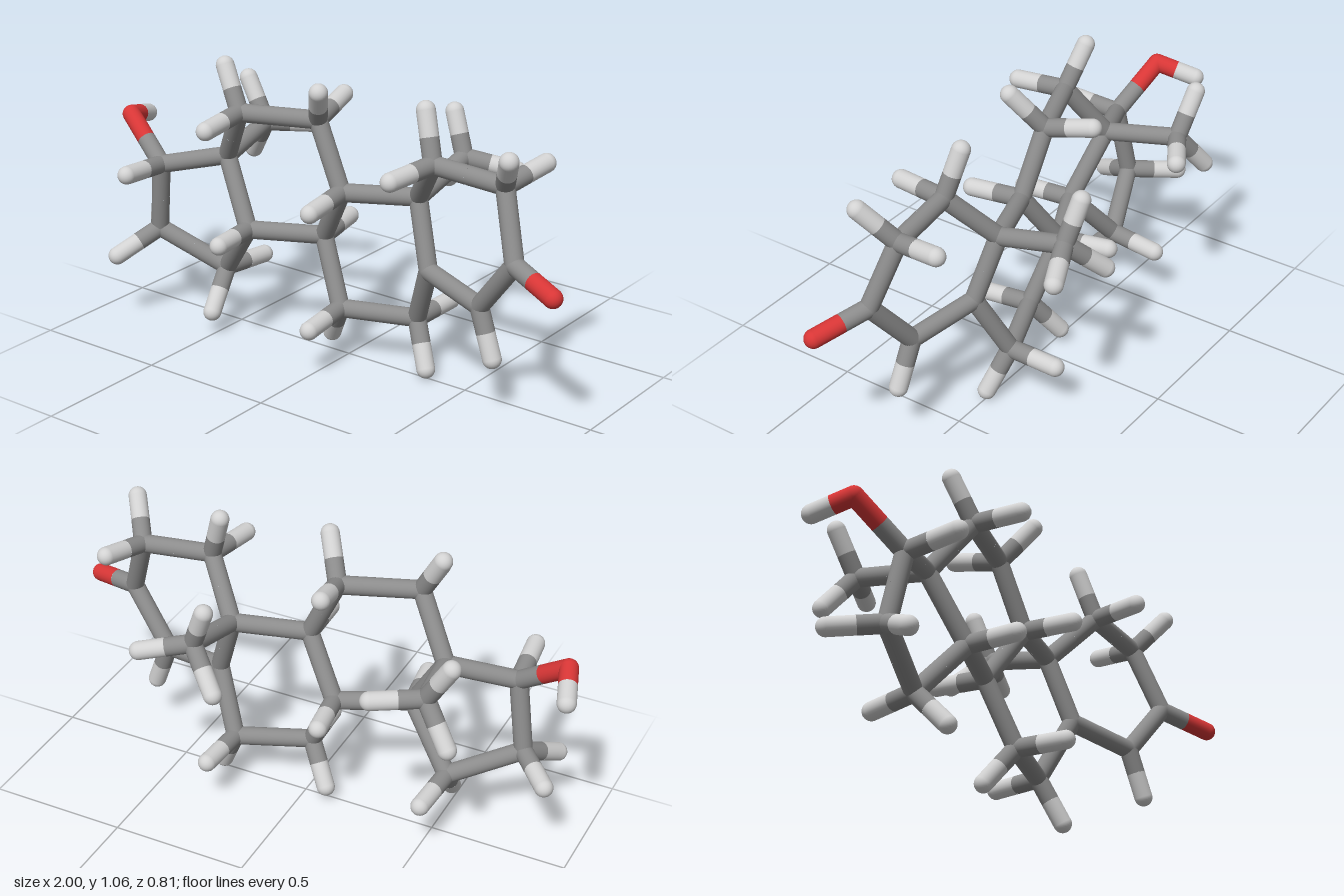
import * as THREE from 'three';

const RADIUS = 0.033;

// Carbon and oxygen atoms of the fused ring skeleton: [x, y, z]
const HEAVY = {
  C1: [0.42, 0.84, 0.10], C2: [0.69, 0.82, 0.08], C3: [0.775, 0.585, 0.145],
  C4: [0.615, 0.385, 0.10], C5: [0.36, 0.425, 0.03], C6: [0.26, 0.195, -0.05],
  C7: [0.0, 0.2, 0.05], C8: [-0.11, 0.435, 0.0], C9: [0.02, 0.645, 0.07],
  C10: [0.28, 0.66, -0.02], C11: [-0.095, 0.88, 0.05], C12: [-0.365, 0.88, 0.15],
  C13: [-0.5, 0.67, 0.06], C14: [-0.36, 0.435, 0.12], C15: [-0.53, 0.225, 0.04],
  C16: [-0.775, 0.35, 0.13], C17: [-0.73, 0.615, 0.16],
  C18: [-0.545, 0.715, -0.215], C19: [0.285, 0.73, -0.29],
  O3: [0.967, 0.545, 0.22], O17: [-0.92, 0.755, 0.105],
};

const BONDS = [
  'C1 C2', 'C2 C3', 'C3 C4', 'C4 C5', 'C5 C10', 'C10 C1', 'C5 C6', 'C6 C7',
  'C7 C8', 'C8 C9', 'C9 C10', 'C9 C11', 'C11 C12', 'C12 C13', 'C13 C14',
  'C14 C8', 'C14 C15', 'C15 C16', 'C16 C17', 'C17 C13', 'C13 C18', 'C10 C19',
  'C3 O3', 'C17 O17',
];

// Hydrogen positions, listed under the atom that carries them
const HYDROGENS = {
  C1: [[0.365, 1.01, 0.065], [0.39, 0.83, 0.30]],
  C2: [[0.765, 0.945, 0.18], [0.73, 0.855, -0.105]],
  C4: [[0.68, 0.215, 0.115]],
  C6: [[0.335, 0.037, 0.0], [0.27, 0.2, -0.245]],
  C7: [[-0.09, 0.06, -0.02], [0.015, 0.187, 0.25]],
  C8: [[-0.14, 0.445, -0.19]],
  C9: [[0.037, 0.63, 0.27]],
  C11: [[-0.02, 1.015, 0.145], [-0.12, 0.925, -0.13]],
  C12: [[-0.45, 1.03, 0.12], [-0.353, 0.865, 0.345]],
  C14: [[-0.335, 0.437, 0.31]],
  C15: [[-0.505, 0.09, 0.16], [-0.515, 0.215, -0.155]],
  C16: [[-0.905, 0.33, -0.01], [-0.85, 0.268, 0.285]],
  C17: [[-0.71, 0.635, 0.365]],
  C18: [[-0.637, 0.865, -0.23], [-0.385, 0.715, -0.31], [-0.65, 0.575, -0.27]],
  C19: [[0.225, 0.88, -0.315], [0.455, 0.695, -0.365], [0.165, 0.605, -0.375]],
  O17: [[-0.967, 0.715, -0.035]],
};

export function createModel() {
  const model = new THREE.Group();
  model.name = 'stickMolecule';

  const colour = (name, color) => {
    const m = new THREE.MeshStandardMaterial({ color });
    m.name = name;
    return m;
  };
  const materials = {
    C: colour('carbonGrey', 0x8c8c8c),
    H: colour('hydrogenLightGrey', 0xd2d2d2),
    O: colour('oxygenRed', 0xd83636),
  };
  const names = { C: 'carbon', H: 'hydrogen', O: 'oxygen' };

  const ball = new THREE.SphereGeometry(RADIUS, 24, 16);
  const rod = new THREE.CylinderGeometry(RADIUS, RADIUS, 1, 24, 1, true);
  const up = new THREE.Vector3(0, 1, 0);

  // Rounded joint or stick end
  const addAtom = (kind, p) => {
    const mesh = new THREE.Mesh(ball, materials[kind]);
    mesh.name = names[kind] + 'Joint';
    mesh.position.copy(p);
    model.add(mesh);
  };

  // Half of a stick, from an atom to the bond's midpoint
  const addHalf = (kind, from, to) => {
    const dir = to.clone().sub(from);
    const mesh = new THREE.Mesh(rod, materials[kind]);
    mesh.name = names[kind] + 'Stick';
    mesh.position.copy(from).addScaledVector(dir, 0.5);
    mesh.scale.y = dir.length();
    mesh.quaternion.setFromUnitVectors(up, dir.normalize());
    model.add(mesh);
  };

  // Bond in the colours of its two atoms
  const addBond = (kindA, a, kindB, b) => {
    const mid = a.clone().lerp(b, 0.5);
    addHalf(kindA, a, mid);
    addHalf(kindB, b, mid);
  };

  const at = (id) => new THREE.Vector3(...HEAVY[id]);

  // Ring skeleton
  for (const id of Object.keys(HEAVY)) addAtom(id[0], at(id));
  for (const bond of BONDS) {
    const [a, b] = bond.split(' ');
    addBond(a[0], at(a), b[0], at(b));
  }

  // Hydrogen side sticks
  for (const [id, list] of Object.entries(HYDROGENS)) {
    for (const p of list) {
      const h = new THREE.Vector3(...p);
      addAtom('H', h);
      addBond(id[0], at(id), 'H', h);
    }
  }
  return model;
}
